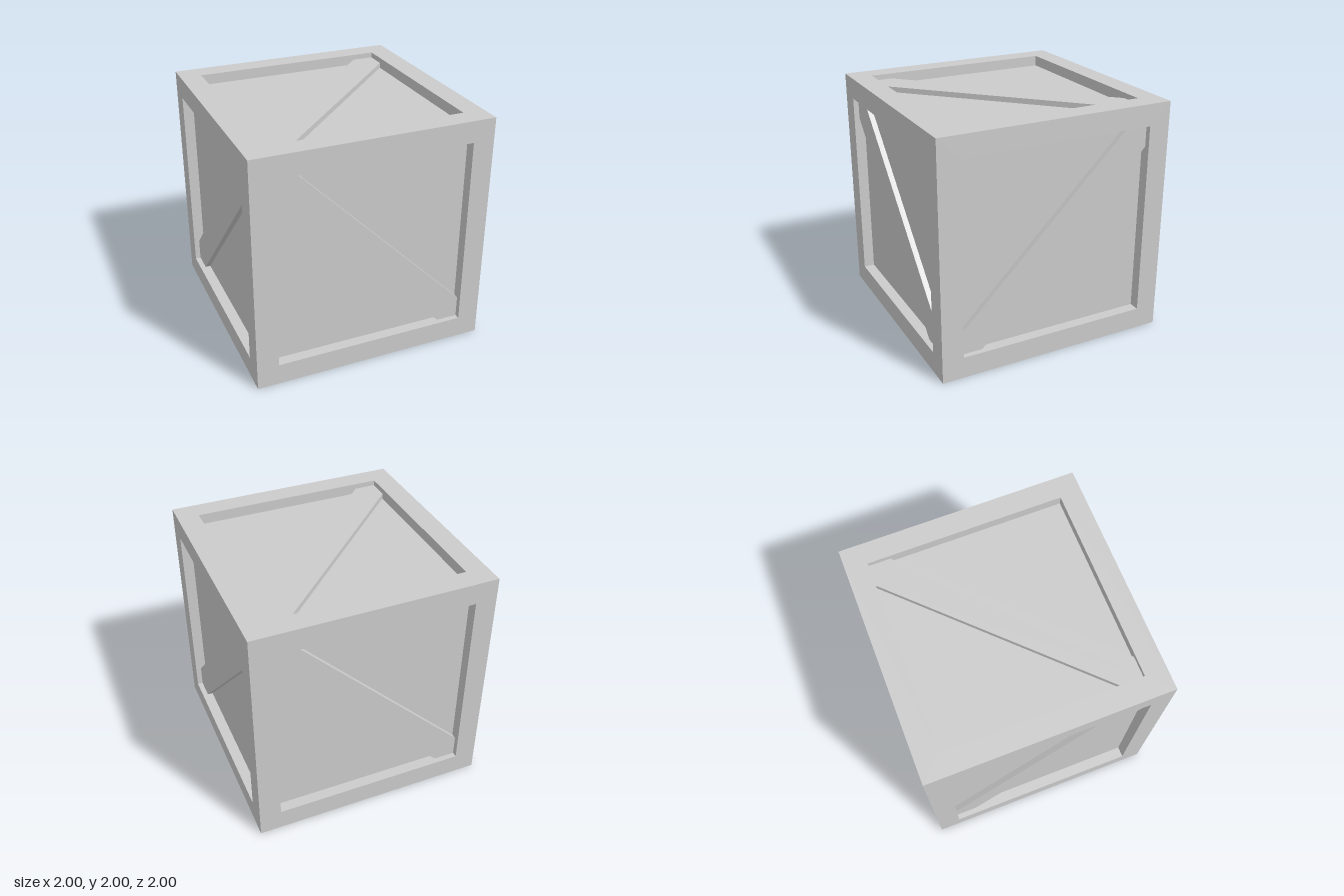
import * as THREE from 'three';

const HALF = 1;          // half of the crate's side
const INNER = 9 / 11;    // half of the frame opening
const CORNER = 7 / 11;   // where the brace edges meet the opening
const RECESS = 1 / 11;   // depth of the panels below the frame
const BRACE = 1 / 22;    // thickness of the diagonal boards

const material = new THREE.MeshStandardMaterial({ color: 0xcccccc, flatShading: true });

function square(h) {
  return [[-h, -h], [h, -h], [h, h], [-h, h]].map(([x, y]) => new THREE.Vector2(x, y));
}

function mesh(name, geometry) {
  const m = new THREE.Mesh(geometry, material);
  m.name = name;
  return m;
}

// Square frame whose outer back edge is mitred, so six of them close the cube
function frameGeometry() {
  const shape = new THREE.Shape(square(HALF));
  shape.holes.push(new THREE.Path(square(INNER).reverse()));
  const geometry = new THREE.ExtrudeGeometry(shape, { depth: RECESS, bevelEnabled: false });
  geometry.translate(0, 0, HALF - RECESS);
  const p = geometry.attributes.position;
  for (let i = 0; i < p.count; i++) {
    const limit = p.getZ(i) + 1e-6;
    p.setX(i, THREE.MathUtils.clamp(p.getX(i), -limit, limit));
    p.setY(i, THREE.MathUtils.clamp(p.getY(i), -limit, limit));
  }
  geometry.computeVertexNormals();
  return geometry;
}

// Diagonal board cut to the corners; slope 1 rises to the right, -1 falls
function braceGeometry(slope) {
  const points = [
    [-INNER, -INNER], [-CORNER, -INNER], [INNER, CORNER],
    [INNER, INNER], [CORNER, INNER], [-INNER, -CORNER],
  ].map(([x, y]) => new THREE.Vector2(x, y * slope));
  const geometry = new THREE.ExtrudeGeometry(new THREE.Shape(points), { depth: BRACE, bevelEnabled: false });
  return geometry.translate(0, 0, HALF - RECESS);
}

export function createModel() {
  const crate = new THREE.Group();
  crate.name = 'crate';

  // Recessed panels on all sides
  const core = 2 * (HALF - RECESS);
  const panels = mesh('panels', new THREE.BoxGeometry(core, core, core));
  panels.position.y = HALF;
  crate.add(panels);

  // Frame and brace for each side: name, x turn, y turn, brace slope
  const frame = frameGeometry();
  const q = Math.PI / 2;
  const sides = [
    ['front', 0, 0, -1],
    ['back', 0, 2 * q, -1],
    ['left', 0, q, 1],
    ['right', 0, -q, 1],
    ['top', -q, 0, 1],
    ['bottom', q, 0, 1],
  ];
  for (const [name, rx, ry, slope] of sides) {
    const side = new THREE.Group();
    side.name = name + 'Side';
    side.add(mesh(name + 'Frame', frame), mesh(name + 'Brace', braceGeometry(slope)));
    side.rotation.set(rx, ry, 0);
    side.position.y = HALF;
    crate.add(side);
  }
  return crate;
}
